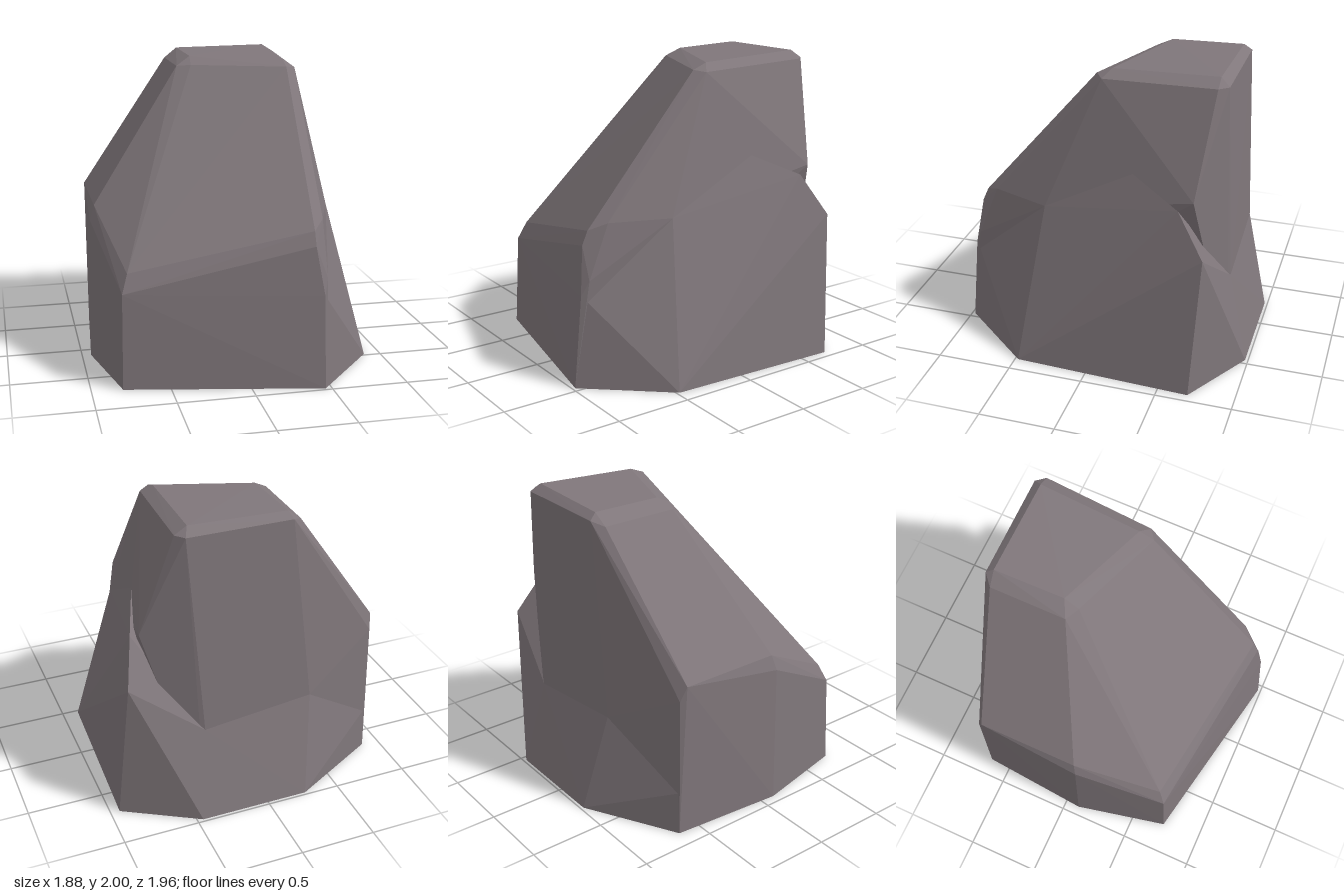
import * as THREE from 'three';
import { ConvexGeometry } from 'three/addons/geometries/ConvexGeometry.js';

const stone = new THREE.MeshStandardMaterial({ color: 0x80777b, flatShading: true });
stone.name = 'warm grey stone';

// Faceted chunk of rock spanned by its corner points
function chunk(name, corners) {
  const geometry = new ConvexGeometry(corners.map(([x, y, z]) => new THREE.Vector3(x, y, z)));
  const mesh = new THREE.Mesh(geometry, stone);
  mesh.name = name;
  return mesh;
}

export function createModel() {
  const rock = new THREE.Group();
  rock.name = 'boulder';

  // Foot corners shared between chunks
  const frontFoot = [0.46, 0, 0.98];
  const backRightFoot = [0.46, 0, -0.98];
  const leftBackFoot = [-0.88, 0, -0.65];
  const backCreaseRight = [0.39, 0.6, -0.84];
  const backCreaseLeft = [-0.35, 0.67, -0.82];
  const sideCrease = [[0.66, 1.38, -0.25], [0.63, 1.05, 0.35]];

  // Main block: flat summit, sloping front and left, chipped edges
  const summit = [[-0.18, 1.99, -0.75], [0.46, 2, -0.74], [0.43, 1.97, -0.05], [-0.17, 1.98, -0.28]];
  const rim = [
    [-0.2, 1.95, -0.8], [0.49, 1.95, -0.8], [0.54, 1.95, -0.74], [0.5, 1.92, 0],
    [0.43, 1.93, 0.05], [-0.18, 1.93, -0.18], [-0.27, 1.92, -0.23], [-0.27, 1.92, -0.74],
  ];
  const leftShoulder = [
    [-0.89, 1.05, -0.6], [-0.89, 1.05, 0.08], [-0.87, 0.95, -0.64], [-0.92, 0.95, 0.1],
    [-0.87, 0.98, 0.13], [-0.75, 0.74, 0.65], [-0.79, 0.62, 0.7],
  ];
  const frontShoulder = [
    [-0.1, 0.97, 0.67], [-0.12, 0.9, 0.73], [0.41, 1, 0.84], [0.41, 0.91, 0.88],
    [0.46, 0.6, 0.925], [0.49, 1.05, 0.74], [0.49, 0.7, 0.88],
  ];
  const foot = [[-0.8, 0, 0.73], [-0.15, 0, 0.83], frontFoot, [-0.94, 0, 0.1], leftBackFoot, [0.39, 0, -0.84]];
  rock.add(chunk('mainBlock', [
    ...summit, ...rim, ...leftShoulder, ...frontShoulder, ...foot,
    ...sideCrease, [0.75, 1.28, -0.66], backCreaseRight, backCreaseLeft,
  ]));

  // Bulge on the side, with a ledge near the back
  rock.add(chunk('sideBulge', [
    ...sideCrease, [0.78, 1.23, -0.57], [0.86, 0.95, -0.75], [0.94, 0, -0.7], [0.89, 0, 0.48],
    [0.46, 0.6, 0.92], frontFoot, backRightFoot, backCreaseRight,
  ]));

  // Flared foot along the back
  rock.add(chunk('backFlare', [
    backRightFoot, [-0.27, 0, -0.98], leftBackFoot, [-0.875, 0.3, -0.645],
    backCreaseRight, backCreaseLeft, [0.3, 0, -0.5],
  ]));

  return rock;
}
